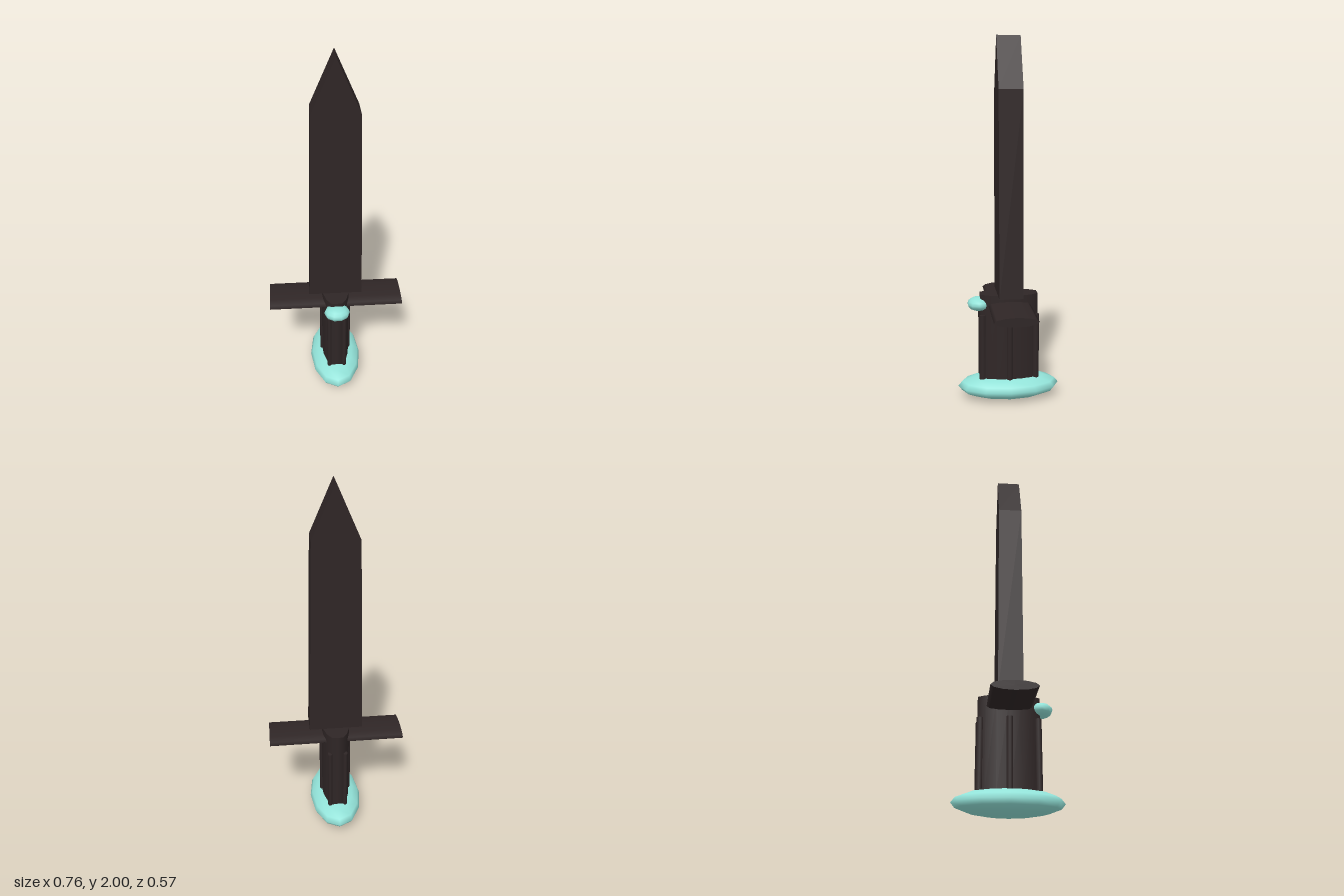
import * as THREE from 'three';

export function createModel() {
  const model = new THREE.Group();
  model.name = 'dagger';
  const darkMetal = new THREE.MeshStandardMaterial({ color: 0x2f2626 });
  darkMetal.name = 'dark metal';
  const paleTeal = new THREE.MeshStandardMaterial({ color: 0x92e2d8 });
  paleTeal.name = 'pale teal';

  function add(name, geometry, material, x = 0, y = 0, z = 0) {
    const mesh = new THREE.Mesh(geometry, material);
    mesh.name = name;
    mesh.position.set(x, y, z);
    model.add(mesh);
    return mesh;
  }

  // Blade: thick, slightly tapered slab with a pointed tip
  const outline = new THREE.Shape([
    [-0.15, 0.605], [0.15, 0.605], [0.125, 1.715], [0, 2], [-0.125, 1.715],
  ].map(([x, y]) => new THREE.Vector2(x, y)));
  const blade = new THREE.ExtrudeGeometry(outline, { depth: 0.13, bevelEnabled: false });
  add('blade', blade, darkMetal, 0, 0, -0.065);

  // Grip: oval column with its narrow ends cut flat
  const grip = new THREE.CylinderGeometry(1, 1, 0.505, 16).scale(0.08, 1, 0.173);
  const p = grip.attributes.position;
  for (let i = 0; i < p.count; i++) p.setZ(i, THREE.MathUtils.clamp(p.getZ(i), -0.16, 0.16));
  add('grip', grip, darkMetal, 0, 0.3525, 0);

  // Ridges running up the grip
  const ridge = new THREE.CylinderGeometry(0.018, 0.018, 0.39, 8);
  for (const side of [-1, 1]) {
    add('sideRidge', ridge, darkMetal, side * 0.073, 0.295, 0);
    for (const end of [-1, 1]) {
      const corner = add('cornerRidge', ridge, darkMetal, side * 0.043, 0.295, end * 0.149);
      corner.scale.set(0.75, 1, 1);
    }
  }

  // Crossguard: flat bar of oval section
  const guard = new THREE.CylinderGeometry(1, 1, 0.76, 12)
    .rotateZ(Math.PI / 2).scale(1, 0.025, 0.117);
  add('crossguard', guard, darkMetal, 0, 0.547, 0);

  // Pommel and the stone set on the front of the guard
  add('pommel', new THREE.SphereGeometry(1, 12, 8).scale(0.15, 0.07, 0.285), paleTeal, 0, 0.07, 0);
  add('stone', new THREE.SphereGeometry(1, 10, 8).scale(0.073, 0.039, 0.063), paleTeal, 0, 0.547, 0.168);

  return model;
}
